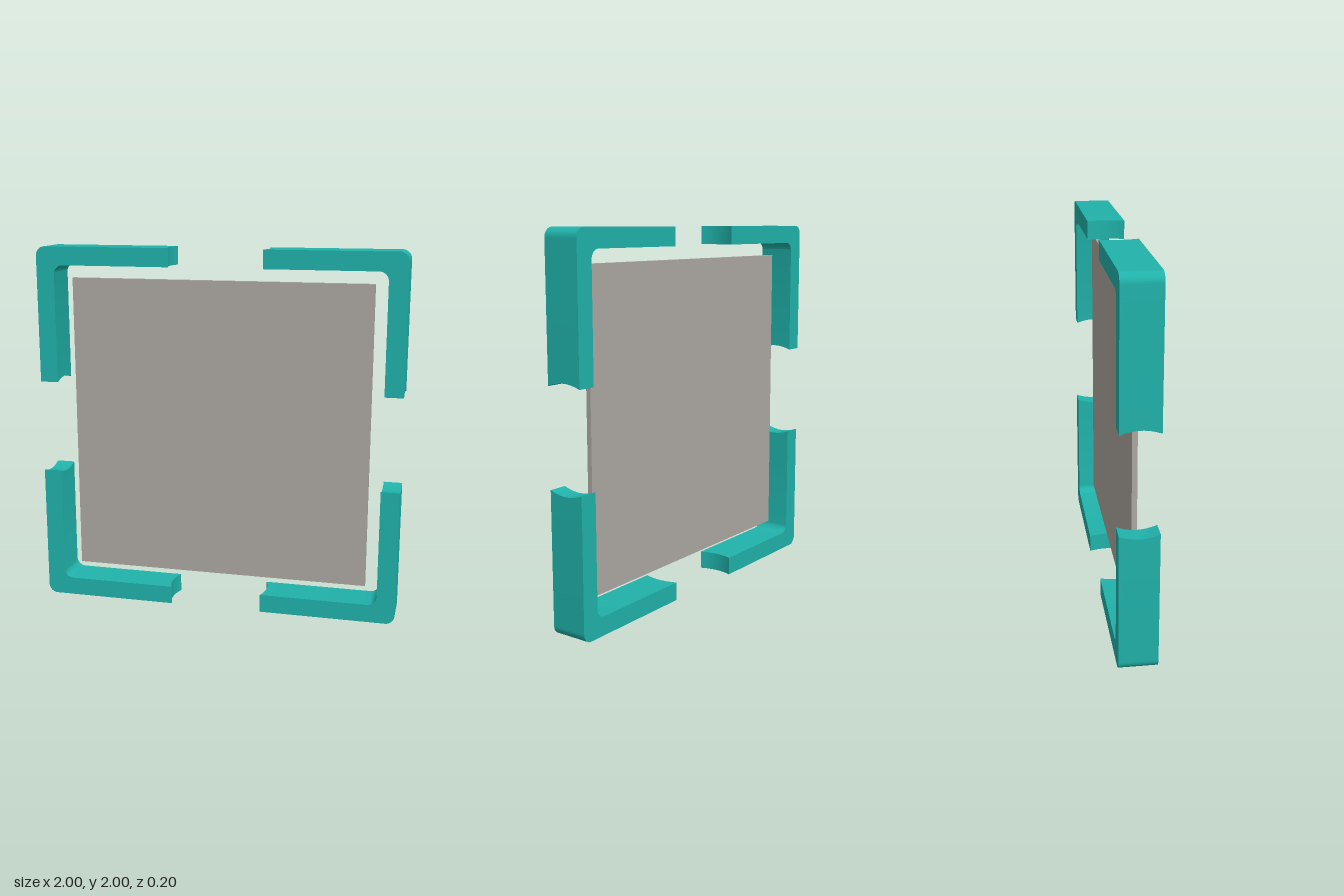
import * as THREE from 'three';
import { toCreasedNormals } from 'three/addons/utils/BufferGeometryUtils.js';

const DEPTH = 0.2, OUT = 1, IN = 0.9, END = 0.255, DISH = 0.02, R = 0.05;

// L-shaped bracket with rounded corner and concave ends
function bracketGeometry() {
  const s = new THREE.Shape();
  s.moveTo(END, OUT);
  s.lineTo(END, IN);
  s.lineTo(IN - R, IN);
  s.absarc(IN - R, IN - R, R, Math.PI / 2, 0, true);
  s.lineTo(IN, END);
  s.lineTo(OUT, END);
  s.lineTo(OUT, OUT - R);
  s.absarc(OUT - R, OUT - R, R, 0, Math.PI / 2, false);
  s.closePath();
  const geo = new THREE.ExtrudeGeometry(s, { depth: DEPTH, steps: 12, bevelEnabled: false, curveSegments: 8 });
  geo.translate(0, 0, -DEPTH / 2);

  // Hollow out both end faces along the depth
  const p = geo.attributes.position;
  for (let i = 0; i < p.count; i++) {
    const dish = DISH * (1 - (p.getZ(i) / (DEPTH / 2)) ** 2);
    if (Math.abs(p.getX(i) - END) < 1e-4) p.setX(i, END + dish);
    if (Math.abs(p.getY(i) - END) < 1e-4) p.setY(i, END + dish);
  }
  return toCreasedNormals(geo, Math.PI / 6);
}

export function createModel() {
  const model = new THREE.Group();
  model.name = 'bracketedPanel';
  const teal = new THREE.MeshStandardMaterial({ color: 0x20b2aa });
  const stone = new THREE.MeshStandardMaterial({ color: 0xaca7a1 });

  // Thin square panel
  const panel = new THREE.Mesh(new THREE.BoxGeometry(1.654, 1.654, 0.027), stone);
  panel.name = 'panel';
  panel.position.y = 1;
  model.add(panel);

  // Four corner brackets, one per quarter turn
  const geo = bracketGeometry();
  ['topLeft', 'topRight', 'bottomRight', 'bottomLeft'].forEach((corner, i) => {
    const bracket = new THREE.Mesh(geo, teal);
    bracket.name = corner + 'Bracket';
    bracket.position.y = 1;
    bracket.rotation.z = i * Math.PI / 2;
    model.add(bracket);
  });
  return model;
}
